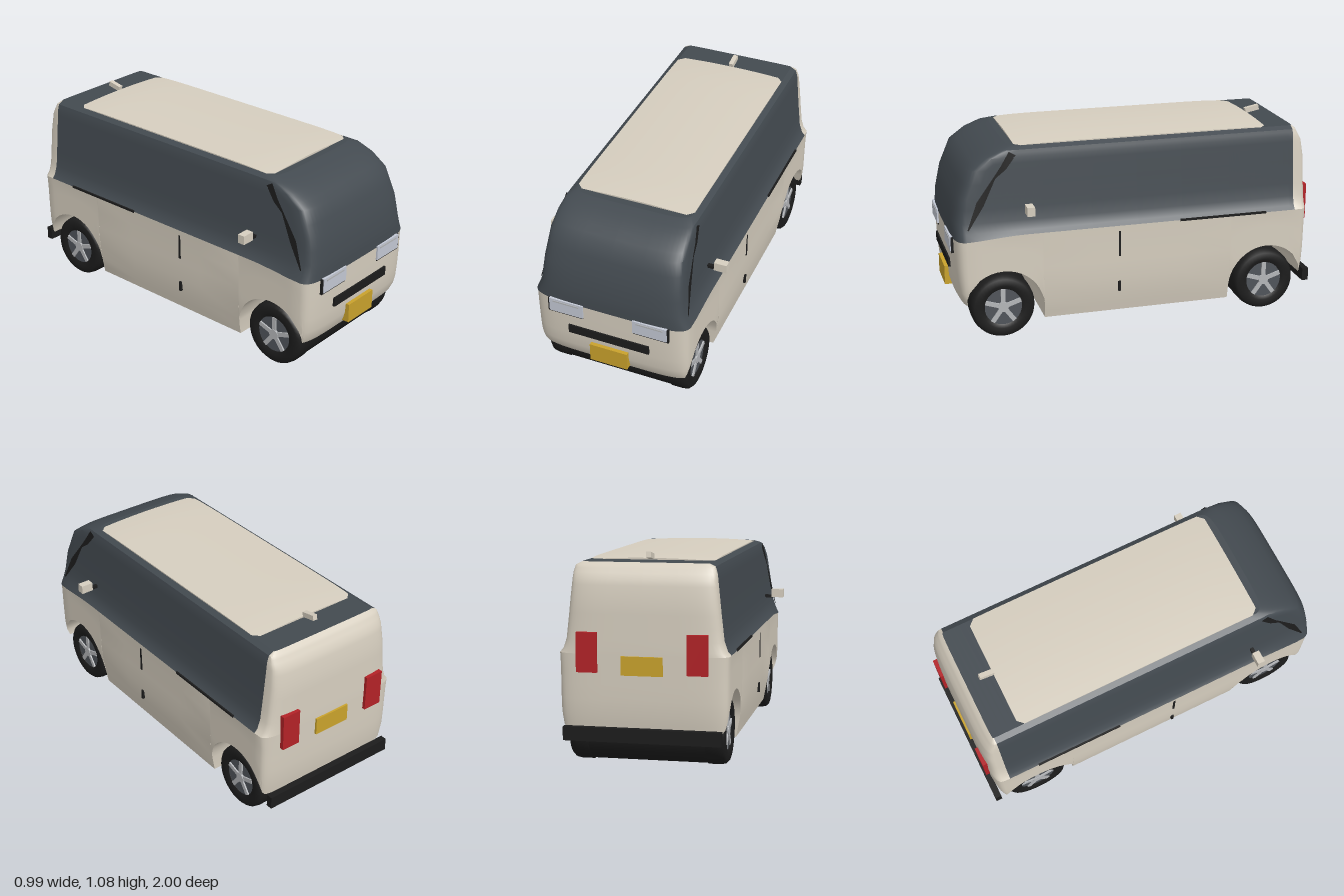
import * as THREE from 'three';
import { toCreasedNormals } from 'three/addons/utils/BufferGeometryUtils.js';

const mat = (name, color, side = THREE.FrontSide) => {
  const m = new THREE.MeshStandardMaterial({ color, side });
  m.name = name;
  return m;
};

// Piecewise linear lookup in a short table of [key, value] pairs
const lookup = (table, k) => {
  if (k <= table[0][0]) return table[0][1];
  for (let i = 1; i < table.length; i++) {
    const [k0, v0] = table[i - 1], [k1, v1] = table[i];
    if (k <= k1) return v0 + (v1 - v0) * (k - k0) / (k1 - k0);
  }
  return table[table.length - 1][1];
};

// Half width, nose z and tail z of the body at each height
const WIDTH = [[0.09, 0.395], [0.2, 0.415], [0.3, 0.425], [0.56, 0.427], [0.58, 0.43], [0.6, 0.412], [0.65, 0.395],
  [0.78, 0.38], [0.92, 0.366], [0.98, 0.36], [1.015, 0.35], [1.03, 0.32]];
const NOSE = [[0.2, 0.95], [0.25, 0.975], [0.4, 0.985], [0.58, 0.988], [0.65, 0.985], [0.78, 0.957], [0.92, 0.9],
  [0.98, 0.82], [1.015, 0.74], [1.03, 0.68]];
const TAIL = [[0.2, -0.96], [0.3, -0.975], [0.6, -0.98], [0.85, -0.977], [0.95, -0.96], [1.015, -0.92], [1.03, -0.9]];
const BACK = -0.89, FRONT = 0.86, AXLE = 0.735, ARCH = 0.215, CORNER = 10;

// Skin between rows of points; keep(i) picks the columns
function loft(rows, keep = () => true) {
  const n = rows[0].length, index = [];
  for (let j = 0; j < rows.length - 1; j++) {
    for (let i = 0; i < n - 1; i++) {
      if (!keep(i)) continue;
      const a = j * n + i, d = a + n;
      index.push(a, d + 1, a + 1, a, d, d + 1);
    }
  }
  const geo = new THREE.BufferGeometry();
  geo.setAttribute('position', new THREE.Float32BufferAttribute(rows.flat(2), 3));
  geo.setIndex(index);
  return toCreasedNormals(geo, 0.6);
}

// Stations from the middle of the tail, along the left side, to the middle of the nose
function makeStations() {
  const side = [BACK, FRONT, -0.25, 0, 0.25];
  for (const s of [-1, 1]) {
    side.push(s * (AXLE - ARCH - 0.001));
    for (let k = 0; k <= 20; k++) {
      const z = s * (AXLE + 0.2149 * Math.cos(Math.PI * k / 20));
      if (z > BACK + 0.005 && z < FRONT - 0.005) side.push(z);
    }
  }
  side.sort((a, b) => a - b);
  const list = [];
  for (let k = 0; k < CORNER; k++) list.push({ end: -1, a: k / CORNER * Math.PI / 2 });
  side.forEach(z => list.push({ end: 0, z }));
  for (let k = CORNER - 1; k >= 0; k--) list.push({ end: 1, a: k / CORNER * Math.PI / 2 });
  return list;
}
const stations = makeStations();

// Point of the body skin at one station and height
function skin(st, y) {
  const w = lookup(WIDTH, y), nose = lookup(NOSE, y), tail = lookup(TAIL, y);
  const start = Math.min(FRONT, nose - 0.1);
  if (st.end === 0) return [w, y, st.z > 0 ? st.z * start / FRONT : st.z];
  const x = w * Math.pow(Math.sin(st.a), 0.4), c = Math.pow(Math.cos(st.a), 0.4);
  return [x, y, st.end > 0 ? start + (nose - start) * c : BACK + (tail - BACK) * c];
}

// Lower edge with the wheel arches cut out, and the belt line
function bottomAt(z) {
  const d = Math.abs(z) - AXLE;
  if (Math.abs(d) <= ARCH) return 0.17 + Math.sqrt(ARCH * ARCH - d * d);
  return d > 0 ? 0.2 : 0.09;
}
const beltAt = z => 0.58 - 0.02 * THREE.MathUtils.smoothstep(z, 0.6, 0.98);
const flip = row => row.map(([x, y, z]) => [-x, y, z]);
const ring = half => [...half, ...flip(half).reverse()];

export function createModel() {
  const van = new THREE.Group();
  van.name = 'van';
  const cream = mat('cream paint', 0xd6cebf), glass = mat('dark glass', 0x434a50);
  const black = mat('black trim', 0x1c1c1c, THREE.DoubleSide), gold = mat('gold plate', 0xc9a22c);
  const red = mat('red lamp', 0xb32227), lamp = mat('lamp glass', 0xc3c8d4);
  const rimGrey = mat('rim grey', 0x50545a), silver = mat('spoke silver', 0xb4b6b9);

  const add = (name, geo, material, parent = van) => {
    const m = new THREE.Mesh(geo, material);
    m.name = name;
    parent.add(m);
    return m;
  };
  // Box given by its extents
  const box = (name, x0, x1, y0, y1, z0, z1, material) => {
    const m = add(name, new THREE.BoxGeometry(Math.abs(x1 - x0), y1 - y0, z1 - z0), material);
    m.position.set((x0 + x1) / 2, (y0 + y1) / 2, (z0 + z1) / 2);
    return m;
  };

  // Lower body: rows run from the arched lower edge up to the belt line
  const lower = [0, 0.08, 0.2, 0.4, 0.6, 0.8, 1].map(t => stations.map(st => {
    const z = skin(st, 0.5)[2];
    const y = THREE.MathUtils.lerp(bottomAt(z), beltAt(z), t);
    return skin(st, y);
  }));
  add('lowerBody', loft(lower.map(ring)), cream);
  add('underside', loft([flip(lower[0]), lower[0]]), cream);

  // Upper body: glass all round, painted tail
  const upper = [0.58, 0.6, 0.65, 0.72, 0.78, 0.85, 0.92, 0.95, 0.98, 1.0, 1.015, 1.03].map(y =>
    stations.map(st => {
      const p = skin(st, y);
      if (y === 0.58) p[1] = beltAt(p[2]);
      return p;
    }));
  const rings = upper.map(ring), last = rings[0].length - 1;
  const isTail = i => i < CORNER || i >= last - CORNER;
  add('glasshouse', loft(rings, i => !isTail(i)), glass);
  add('tailFrame', loft(rings, isTail), cream);
  const top = upper[upper.length - 1];
  add('roof', loft([top, flip(top)]), glass);

  // Domed roof panel
  const panel = new THREE.BoxGeometry(0.64, 0.02, 1.39, 12, 1, 16);
  const pos = panel.attributes.position;
  for (let i = 0; i < pos.count; i++) {
    const u = pos.getX(i) / 0.32, v = pos.getZ(i) / 0.695;
    pos.setY(i, pos.getY(i) + 1.037 - 0.011 * u * u - 0.008 * v ** 8);
  }
  panel.computeVertexNormals();
  add('roofPanel', panel, cream).position.z = -0.055;
  box('roofAntenna', -0.013, 0.013, 1.04, 1.068, -0.825, -0.745, cream).rotation.x = 0.2;

  // Nose and tail fittings
  box('grilleBar', -0.225, 0.225, 0.365, 0.415, 0.97, 0.994, black);
  box('frontPlate', -0.105, 0.105, 0.22, 0.325, 0.96, 1.0, gold);
  box('rearPlate', -0.105, 0.105, 0.48, 0.575, -0.99, -0.975, gold);
  box('rearBumper', -0.4, 0.4, 0.145, 0.215, -1.0, -0.965, black);

  // Paired parts
  for (const s of [-1, 1]) {
    const side = s > 0 ? 'left' : 'right';
    box(side + 'HeadlampFrame', s * 0.14, s * 0.335, 0.48, 0.565, 0.95, 0.991, black);
    box(side + 'Headlamp', s * 0.138, s * 0.326, 0.488, 0.568, 0.955, 0.996, lamp);
    box(side + 'HeadlampStrip', s * 0.16, s * 0.305, 0.55, 0.559, 0.99, 0.999, silver);
    box(side + 'TailLamp', s * 0.225, s * 0.33, 0.49, 0.69, -0.995, -0.95, red);
    box(side + 'Mirror', s * 0.428, s * 0.497, 0.697, 0.745, 0.575, 0.615, cream);
    box(side + 'MirrorArm', s * 0.375, s * 0.44, 0.694, 0.71, 0.585, 0.605, black);
    box(side + 'DoorHandle', s * 0.42, s * 0.43, 0.41, 0.55, 0.1, 0.112, black);
    box(side + 'DoorCatch', s * 0.41, s * 0.43, 0.21, 0.265, 0.1, 0.114, black);
    box(side + 'DoorRail', s * 0.42, s * 0.434, 0.575, 0.586, -0.72, -0.23, black);

    // Tapered trim along the windscreen pillar: z, y, half thickness
    const path = [[0.91, 0.62, 0.003], [0.84, 0.75, 0.018], [0.76, 0.88, 0.005], [0.71, 0.93, 0.014], [0.66, 1.0, 0.018]];
    const edge = d => path.map(([z, y, h]) => [s * (lookup(WIDTH, y) + 0.004), y + d * h * 0.6, z + d * h]);
    add(side + 'PillarTrim', loft([edge(-1), edge(1)]), black);
  }

  // Wheels joined by a wide roller
  const tyreProfile = [[0.1, 0.09], [0.12, 0.1], [0.155, 0.098], [0.168, 0.085], [0.173, 0.06], [0.173, 0], [0.16, -0.005]]
    .map(([r, h]) => new THREE.Vector2(r, h));
  const tyreGeo = new THREE.LatheGeometry(tyreProfile, 40);
  const rimGeo = new THREE.CylinderGeometry(0.105, 0.105, 0.08, 32);
  const hubGeo = new THREE.CylinderGeometry(0.028, 0.028, 0.012, 20);
  const spokeGeo = new THREE.BoxGeometry(0.024, 0.01, 0.085);
  for (const z of [AXLE, -AXLE]) {
    const end = z > 0 ? 'front' : 'rear';
    const roller = add(end + 'Roller', new THREE.CylinderGeometry(0.169, 0.169, 0.62, 40), black);
    roller.rotation.z = Math.PI / 2;
    roller.position.set(0, 0.173, z);
    for (const s of [-1, 1]) {
      const wheel = new THREE.Group();
      wheel.name = end + (s > 0 ? 'Left' : 'Right') + 'Wheel';
      wheel.position.set(s * 0.3, 0.173, z);
      wheel.rotation.z = -s * Math.PI / 2;
      add('tyre', tyreGeo, black, wheel);
      add('rim', rimGeo, rimGrey, wheel).position.y = 0.045;
      add('hub', hubGeo, silver, wheel).position.y = 0.09;
      for (let k = 0; k < 5; k++) {
        // Spokes fan out with one pointing up
        const a = k * Math.PI * 2 / 5 - s * Math.PI / 2;
        const spoke = add('spoke', spokeGeo, silver, wheel);
        spoke.position.set(0.058 * Math.sin(a), 0.088, 0.058 * Math.cos(a));
        spoke.rotation.y = a;
      }
      van.add(wheel);
    }
  }
  return van;
}
